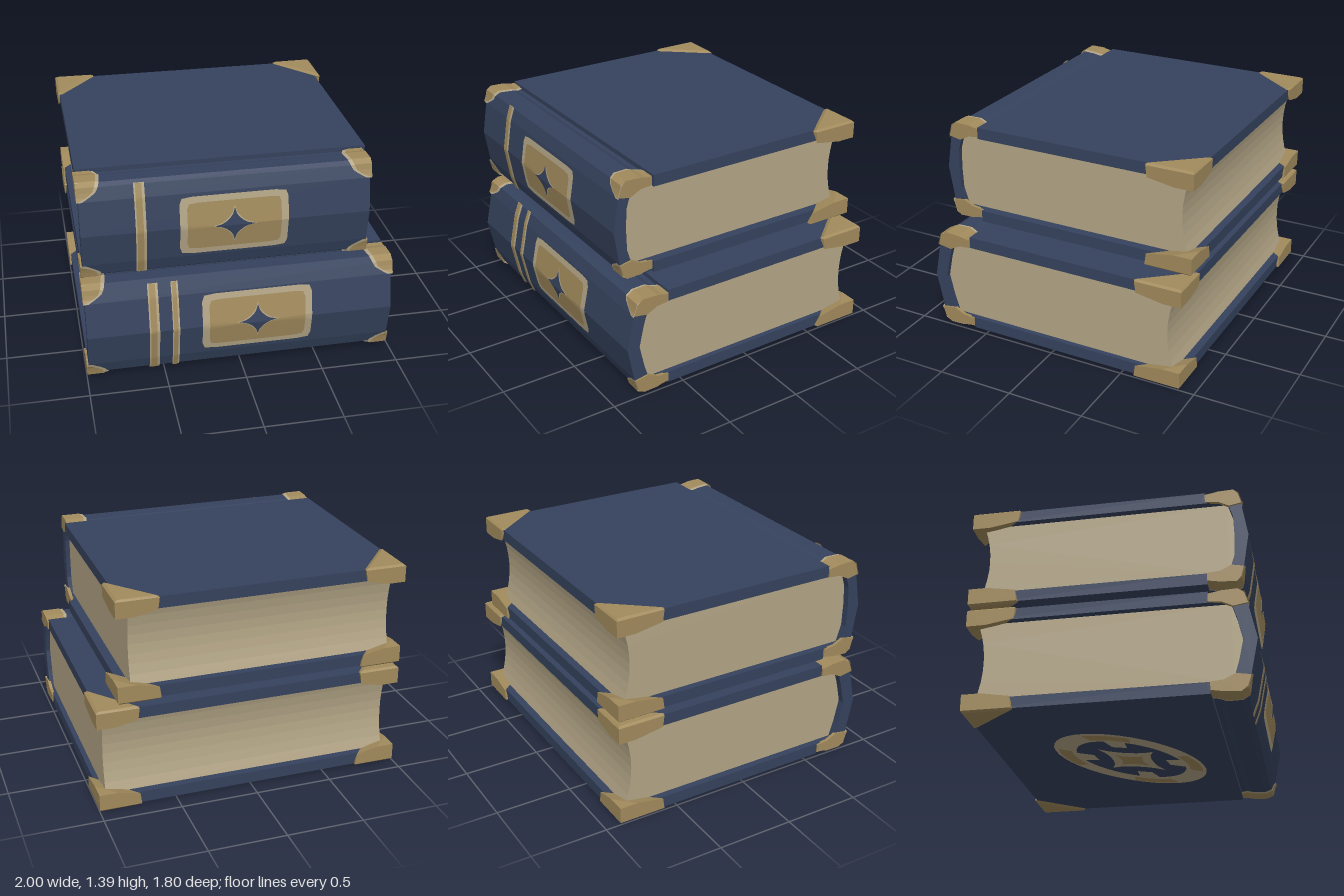
import * as THREE from 'three';
import { ConvexGeometry } from 'three/addons/geometries/ConvexGeometry.js';

const mat = (name, color) => {
  const m = new THREE.MeshStandardMaterial({ color, side: THREE.DoubleSide });
  m.name = name;
  return m;
};

export function createModel() {
  const blue = mat('navy leather', 0x35425d);
  const paper = mat('paper', 0xb3a586);
  const pale = mat('pale brass', 0xb3a586);
  const gold = mat('brass', 0xa18a5c);
  const model = new THREE.Group();

  const add = (parent, name, geometry, material) => {
    const mesh = new THREE.Mesh(geometry, material);
    mesh.name = name;
    parent.add(mesh);
    return mesh;
  };
  const box = (x0, x1, y0, y1, z0, z1) =>
    new THREE.BoxGeometry(x1 - x0, y1 - y0, z1 - z0)
      .translate((x0 + x1) / 2, (y0 + y1) / 2, (z0 + z1) / 2);

  // Extrude a [z, y] outline along x
  const extrudeX = (points, x0, x1) => {
    const shape = new THREE.Shape(points.map(([z, y]) => new THREE.Vector2(z, y)));
    return new THREE.ExtrudeGeometry(shape, { depth: x1 - x0, bevelEnabled: false })
      .rotateY(-Math.PI / 2).translate(x1, 0, 0);
  };

  // Open strip through pairs of edge points
  const strip = (pairs) => {
    const pos = [];
    for (let i = 0; i < pairs.length - 1; i++) {
      const [a, b] = pairs[i], [c, d] = pairs[i + 1];
      pos.push(...a, ...c, ...b, ...b, ...c, ...d);
    }
    const g = new THREE.BufferGeometry();
    g.setAttribute('position', new THREE.Float32BufferAttribute(pos, 3));
    g.computeVertexNormals();
    return g;
  };

  // Disc warped into a superellipse: large power = rounded box, small = star
  const superDisc = (rx, ry, power) => {
    const g = new THREE.RingGeometry(0.001, 1, 48, 8);
    const p = g.attributes.position;
    for (let i = 0; i < p.count; i++) {
      const x = p.getX(i), y = p.getY(i), r = Math.hypot(x, y);
      const c = Math.abs(x / r), s = Math.abs(y / r);
      const k = (c ** power + s ** power) ** (-1 / power);
      p.setXY(i, x * k * rx, y * k * ry);
    }
    return g;
  };

  function makeBook(name, o) {
    const book = new THREE.Group();
    book.name = name;
    model.add(book);
    const { bottom, top, x0, spineX1, boardX1, bulge } = o;
    const mid = (bottom + top) / 2, half = (top - bottom) / 2, board = 0.075;
    const inY = half - board;

    // Cover boards
    add(book, 'topBoard', box(x0, boardX1, top - board, top, -0.885, 0.6), blue);
    add(book, 'bottomBoard', box(x0, boardX1, bottom, bottom + board, -0.885, 0.6), blue);

    // Rounded spine with hinge grooves
    const upper = [[0.58, half - 0.03], [0.63, half - 0.03], [0.67, half - 0.013],
      [0.77, half - 0.01], [bulge[0], half - 0.03], [bulge[1], half - 0.11]];
    const inner = [[0.58, inY], [0.735, inY], [0.77, inY * 0.55], [bulge[2] - 0.085, 0]];
    const mirror = (list) => [...list].reverse().map(([z, y]) => [z, -y]);
    const lift = ([z, y]) => [z, y + mid];
    const outerPath = [...upper, [bulge[2], 0], ...mirror(upper)];
    const innerPath = [...inner, ...mirror(inner.slice(0, -1))];
    add(book, 'spine', extrudeX([...outerPath, ...innerPath.reverse()].map(lift), x0, spineX1), blue);

    // Page block with hollow fore-edge
    const fore = [];
    for (let i = 0; i <= 8; i++) {
      const t = i / 4 - 1;
      fore.push([-0.79 - 0.045 * t * t, t * inY]);
    }
    add(book, 'pages', extrudeX([...innerPath.slice(1, -1), ...fore.reverse()].map(lift),
      x0 + 0.045, spineX1 - 0.03), paper);

    // Plates that follow the spine
    const key = [[half - 0.03, bulge[0]], [half - 0.11, bulge[1]], [0, bulge[2]]];
    const spineZ = (y) => {
      const a = Math.min(Math.abs(y - mid), half - 0.012);
      const [p, q] = a > key[1][0] ? [key[0], key[1]] : [key[1], key[2]];
      return q[1] + (p[1] - q[1]) * (a - q[0]) / (p[0] - q[0]);
    };
    const onSpine = (label, g, cx, cy, offset, material) => {
      g.translate(cx, cy, 0);
      const p = g.attributes.position;
      for (let i = 0; i < p.count; i++) p.setZ(i, spineZ(p.getY(i)) + offset);
      g.computeVertexNormals();
      add(book, label, g, material);
    };
    const [lx, ly, rx, ry, sx, sy] = o.label;
    onSpine('labelFrame', superDisc(rx, ry, 16), lx, ly, 0.004, pale);
    onSpine('labelPanel', superDisc(rx - 0.045, ry - 0.038, 16), lx, ly, 0.008, gold);
    onSpine('labelStarRim', superDisc(sx + 0.015, sy + 0.015, 0.62), lx, ly, 0.011, pale);
    onSpine('labelStar', superDisc(sx, sy, 0.62), lx, ly, 0.014, blue);
    for (const [cx, w] of o.stripes) {
      const h = 2 * half - 0.04;
      onSpine('stripeEdge', new THREE.PlaneGeometry(w, h, 1, 40), cx, mid, 0.004, pale);
      onSpine('stripe', new THREE.PlaneGeometry(w * 0.6, h, 1, 40), cx - w * 0.06, mid, 0.008, gold);
    }

    for (const v of [1, -1]) {
      const face = v > 0 ? top : bottom;
      for (const side of [-1, 1]) {
        // Brass caps wrapped over the spine ends
        const end = side < 0 ? x0 : spineX1;
        const wrap = (extra, off) => strip([
          [0.6, 0.024, 0.09], [0.64, 0.024, 0.11], [0.68, 0.011, 0.12], [0.775, 0.008, 0.11],
          [bulge[0] + 0.004, 0.03, 0.1], [bulge[0] + 0.012, 0.055, 0.085],
          [bulge[0] + 0.02, 0.08, 0.05], [bulge[1] + 0.001, 0.1 + extra * 0.4, 0],
        ].map(([z, d, w], i) => {
          const y = face - v * (d - (i < 5 ? off : 0)), zz = z + (i > 3 ? off : 0);
          return [[end + side * 0.01, y, zz], [end - side * (w + extra), y, zz]];
        }));
        add(book, 'spineCapRim', wrap(0.022, 0.004), pale);
        add(book, 'spineCap', wrap(0, 0.009), gold);
        const plate = [[0.6, 0.02], [0.68, 0.005], [0.78, 0], [bulge[0] + 0.008, 0.03],
          [bulge[1], 0.1], [0.75, 0.115], [0.68, 0.08], [0.6, 0.072]]
          .map(([z, d]) => [z, face - v * d]);
        add(book, 'spineCapEnd', extrudeX(plate, end - 0.011, end + 0.011), gold);

        // Brass corner guards on the fore-edge, tapering inward
        const cx = side < 0 ? -1 : o.cornerX;
        const points = [
          [0.015, -0.012, 0.012], [0.25, -0.012, 0.015], [0.015, -0.012, 0.3],
          [0, 0, 0], [0.27, 0, 0], [0.27, 0, 0.025], [0, 0, 0.31], [0.025, 0, 0.32],
          [0, 0.075, 0], [0.26, 0.075, 0], [0, 0.075, 0.3],
          [0, 0.105, 0], [0.12, 0.105, 0], [0, 0.105, 0.12],
        ].map(([u, d, w]) => new THREE.Vector3(cx - side * u, face - v * d, -0.9 + w));
        add(book, 'cornerGuard', new ConvexGeometry(points), gold);
      }
    }
    return book;
  }

  const lower = makeBook('lowerBook', {
    bottom: 0.012, top: 0.68, x0: -0.988, spineX1: 0.975, boardX1: 0.978, cornerX: 1,
    bulge: [0.81, 0.84, 0.886],
    label: [0.095, 0.358, 0.355, 0.203, 0.12, 0.11],
    stripes: [[-0.565, 0.065], [-0.428, 0.045]],
  });
  makeBook('upperBook', {
    bottom: 0.73, top: 1.38, x0: -0.988, spineX1: 0.795, boardX1: 0.825, cornerX: 0.862,
    bulge: [0.798, 0.825, 0.86],
    label: [-0.055, 1.055, 0.335, 0.195, 0.125, 0.11],
    stripes: [[-0.625, 0.065]],
  });

  // Raised panel between the two books
  add(model, 'raisedPanel', box(-0.83, 0.73, 0.67, 0.74, -0.765, 0.6), blue);

  // Oval ornament under the lower book
  const ornament = new THREE.Group();
  ornament.name = 'ornament';
  lower.add(ornament);
  const under = (name, g, depth, material) => {
    g.rotateZ(0.67).rotateX(Math.PI / 2).translate(0, 0.012 - depth, -0.04);
    add(ornament, name, g, material);
  };
  under('ornamentRing', new THREE.RingGeometry(0.72, 1, 40).scale(0.6, 0.34, 1), 0.004, pale);
  under('ornamentStar', superDisc(0.3, 0.2, 0.7), 0.004, pale);
  under('ornamentHeart', superDisc(0.16, 0.11, 0.7), 0.008, gold);
  for (let i = 0; i < 4; i++) {
    const start = 0.5 + i * Math.PI / 2;
    under('ornamentArc', new THREE.RingGeometry(0.78, 0.95, 8, 1, start, 0.7).scale(0.6, 0.34, 1), 0.008, gold);
    under('ornamentSpoke', new THREE.RingGeometry(0.5, 0.73, 6, 1, start + 0.1, 0.4).scale(0.6, 0.34, 1), 0.004, pale);
  }
  return model;
}
